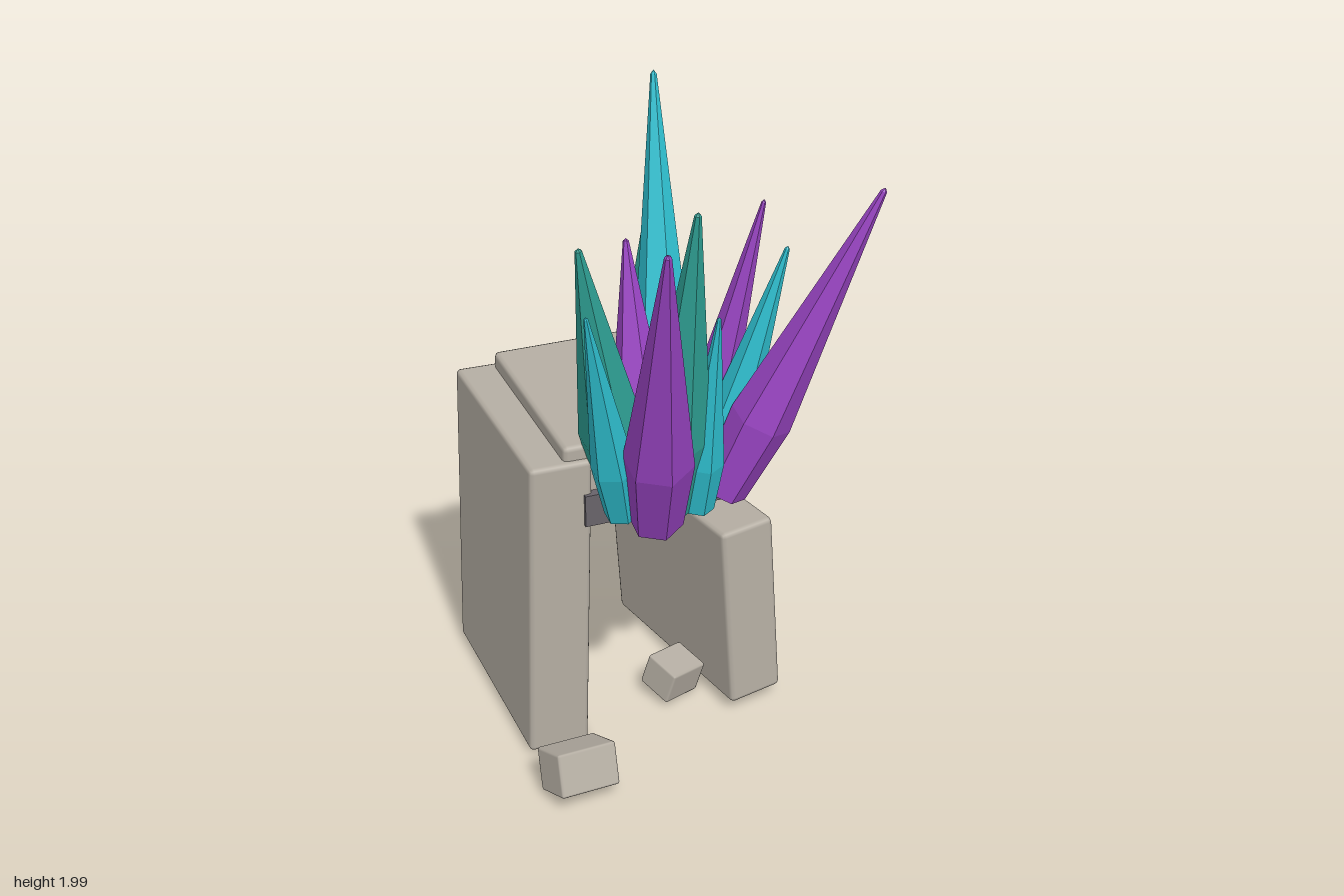
import * as THREE from 'three';
import { RoundedBoxGeometry } from 'three/addons/geometries/RoundedBoxGeometry.js';

const material = (color, flatShading = false) => new THREE.MeshStandardMaterial({ color, flatShading });

const STONE = material(0xb5aea3);
const DARK = material(0x68636a);
const PURPLE = material(0x9a45c4, true);
const TEAL = material(0x2fa195, true);
const CYAN = material(0x2fc0d0, true);

// Bevelled stone block: size, centre and tilt
function block(name, size, position, rotation, bevel = 0.015) {
  const mesh = new THREE.Mesh(new RoundedBoxGeometry(...size, 1, bevel), STONE);
  mesh.name = name;
  mesh.position.set(...position);
  mesh.rotation.set(...rotation, 'YXZ');
  return mesh;
}

// Six-sided crystal that swells above its base and narrows to a blunt tip
function crystal(mat, radius, base, tip) {
  const from = new THREE.Vector3(...base);
  const axis = new THREE.Vector3(...tip).sub(from);
  const length = axis.length();
  const profile = [[0, 0], [0.78, 0], [1, 0.25], [0.1, 0.99], [0, 1]]
    .map(([r, t]) => new THREE.Vector2(r * radius, t * length));
  const mesh = new THREE.Mesh(new THREE.LatheGeometry(profile, 6), mat);
  mesh.name = 'crystal';
  mesh.position.copy(from);
  mesh.quaternion.setFromUnitVectors(new THREE.Vector3(0, 1, 0), axis.normalize());
  return mesh;
}

export function createModel() {
  const model = new THREE.Group();
  model.name = 'crystalShrine';

  // Standing slabs, capstone and loose rocks
  model.add(
    block('tallSlab', [0.19, 0.98, 0.68], [-0.365, 0.51, -0.215], [0.015, 0.02, -0.025]),
    block('shortSlab', [0.18, 0.61, 0.7], [0.2, 0.34, -0.215], [-0.04, 0.16, 0.05]),
    block('capstone', [0.53, 0.2, 0.64], [-0.07, 0.945, -0.21], [0.025, 0.005, 0]),
    block('frontRock', [0.19, 0.13, 0.14], [-0.385, 0.1, 0.33], [-0.38, 0.18, -0.1], 0.008),
    block('innerRock', [0.14, 0.11, 0.12], [0.055, 0.085, -0.02], [0.25, 0.4, -0.12], 0.008),
  );

  // Dark ledge under the crystals
  const ledge = new THREE.Mesh(new THREE.BoxGeometry(0.42, 0.1, 0.09), DARK);
  ledge.name = 'crystalLedge';
  ledge.position.set(-0.07, 0.835, 0.095);
  model.add(ledge);

  // Crystal cluster: material, radius, base, tip
  const cluster = new THREE.Group();
  cluster.name = 'crystalCluster';
  [
    [PURPLE, 0.1, [-0.12, 0.85, 0.28], [-0.21, 1.8, 0.59]],
    [PURPLE, 0.09, [0.11, 0.87, 0.22], [0.49, 1.8, 0.39]],
    [PURPLE, 0.065, [0.1, 0.92, 0.06], [0.255, 1.71, 0.14]],
    [PURPLE, 0.085, [-0.08, 0.9, 0.09], [-0.085, 1.58, -0.035]],
    [TEAL, 0.1, [-0.02, 0.92, -0.03], [0.065, 1.69, -0.2]],
    [TEAL, 0.1, [-0.16, 0.88, 0.13], [-0.325, 1.7, 0.25]],
    [TEAL, 0.095, [-0.05, 0.86, 0.22], [-0.055, 1.82, 0.41]],
    [CYAN, 0.09, [0, 0.88, 0.06], [0.06, 2, -0.19]],
    [CYAN, 0.065, [-0.2, 0.86, 0.22], [-0.35, 1.56, 0.37]],
    [CYAN, 0.07, [0.11, 0.87, 0.14], [0.29, 1.6, 0.225]],
    [CYAN, 0.06, [0.02, 0.85, 0.25], [0.03, 1.49, 0.36]],
  ].forEach((c) => cluster.add(crystal(...c)));
  model.add(cluster);

  return model;
}
